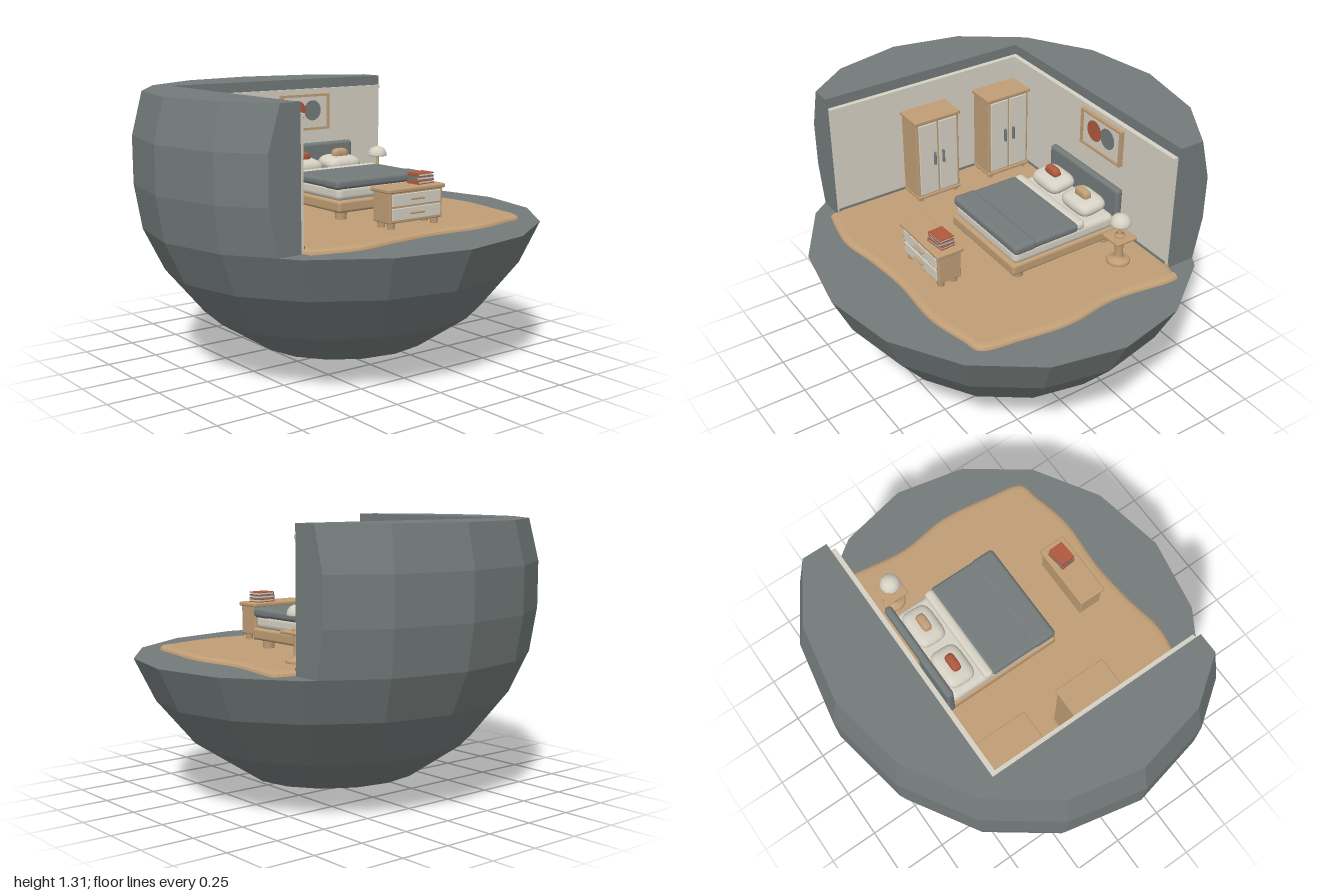
import * as THREE from 'three';
import { RoundedBoxGeometry } from 'three/addons/geometries/RoundedBoxGeometry.js';

const mat = (name, color, extra) => new THREE.MeshStandardMaterial({ name, color, ...extra });

export function createModel() {
  const model = new THREE.Group();
  model.name = 'bedroomBowl';
  const slate = mat('slate', 0x737b7a);
  const wood = mat('wood', 0xc09e76);
  const cream = mat('cream', 0xd6d1c4);
  const terracotta = mat('terracotta', 0xb0593f);

  const group = (name, x = 0, y = 0, z = 0) => {
    const g = new THREE.Group();
    g.name = name;
    g.position.set(x, y, z);
    model.add(g);
    return g;
  };
  const add = (parent, name, geo, material, x = 0, y = 0, z = 0) => {
    const m = new THREE.Mesh(geo, material);
    m.name = name;
    m.position.set(x, y, z);
    parent.add(m);
    return m;
  };
  // Box given by its min and max on each axis, optionally rounded
  const box = (parent, name, material, [x0, x1], [y0, y1], [z0, z1], r = 0) => {
    const s = [x1 - x0, y1 - y0, z1 - z0];
    const geo = r ? new RoundedBoxGeometry(...s, 3, r) : new THREE.BoxGeometry(...s);
    return add(parent, name, geo, material, (x0 + x1) / 2, (y0 + y1) / 2, (z0 + z1) / 2);
  };
  const lathe = (parent, name, material, pts, x, y, z) =>
    add(parent, name, new THREE.LatheGeometry(pts.map(p => new THREE.Vector2(...p)), 24), material, x, y, z);

  // Faceted loft through stacked loops of [x, z], closed on top
  const loft = (levels) => {
    const pos = [];
    const put = (y, p) => pos.push(p[0], y, p[1]);
    for (let l = 0; l < levels.length - 1; l++) {
      const [a, b] = [levels[l], levels[l + 1]];
      a.loop.forEach((p, i) => {
        const j = (i + 1) % a.loop.length;
        put(a.y, p); put(a.y, a.loop[j]); put(b.y, b.loop[j]);
        put(a.y, p); put(b.y, b.loop[j]); put(b.y, b.loop[i]);
      });
    }
    const top = levels.at(-1);
    const flat = top.loop.map(p => new THREE.Vector2(p[0], -p[1]));
    THREE.ShapeUtils.triangulateShape(flat, []).forEach(t => t.forEach(i => put(top.y, top.loop[i])));
    const geo = new THREE.BufferGeometry();
    geo.setAttribute('position', new THREE.Float32BufferAttribute(pos, 3));
    geo.computeVertexNormals();
    return geo;
  };

  // Rock: full bowl below, cut-away shell behind and on the right side
  const rim = (r, k) => {
    const a = -k * Math.PI / 8;
    return [0.01 + r * Math.cos(a), 0.028 + 0.918 * r * Math.sin(a)];
  };
  const ring = r => Array.from({ length: 16 }, (_, k) => rim(r, k));
  const cutAt = (p, q, axis, v) => {
    const t = (v - p[axis]) / (q[axis] - p[axis]);
    return [p[0] + t * (q[0] - p[0]), p[1] + t * (q[1] - p[1])];
  };
  const shellLoop = r => [
    cutAt(rim(r, 2), rim(r, 3), 0, 0.645),
    ...[3, 4, 5, 6, 7, 8, 9].map(k => rim(r, k)),
    cutAt(rim(r, 9), rim(r, 10), 1, 0.575),
    [-0.625, 0.575], [-0.625, -0.5], [0.645, -0.5],
  ];
  const rock = group('rock');
  add(rock, 'bowl', loft([[0, 0.001], [0.095, 0.43], [0.265, 0.695], [0.48, 0.877], [0.68, 0.975]]
    .map(([y, r]) => ({ y, loop: ring(r) }))), slate);
  add(rock, 'shell', loft([[0.68, 0.975], [0.89, 1.01], [1.11, 1.01], [1.31, 0.96]]
    .map(([y, r]) => ({ y, loop: shellLoop(r) }))), slate);

  // Floor with a wavy, softened edge
  const edge = [[0.735, -0.47], [0.735, -0.4], [0.7, -0.13], [0.73, 0.13], [0.7, 0.38], [0.665, 0.55], [0.56, 0.585],
    [0.35, 0.625], [0.08, 0.612], [-0.15, 0.63], [-0.37, 0.66], [-0.605, 0.615]];
  const shape = new THREE.Shape();
  shape.moveTo(edge[0][0], -edge[0][1]);
  shape.splineThru(edge.slice(1).map(([x, z]) => new THREE.Vector2(x, -z)));
  [[-0.615, 0.57], [-0.66, 0.53], [-0.66, -0.54], [0.63, -0.54], [0.64, -0.49]].forEach(([x, z]) => shape.lineTo(x, -z));
  const floorGeo = new THREE.ExtrudeGeometry(shape, {
    depth: 0.01, bevelThickness: 0.02, bevelSize: 0.03, bevelOffset: -0.03, bevelSegments: 3, curveSegments: 40,
  });
  floorGeo.rotateX(-Math.PI / 2);
  add(group('floor'), 'floor', floorGeo, wood, 0, 0.672, 0);

  // Wall panels with crown trim and skirting
  const walls = group('walls');
  box(walls, 'backWall', cream, [-0.625, 0.63], [0.69, 1.26], [-0.5, -0.48]);
  box(walls, 'sideWall', cream, [-0.625, -0.605], [0.69, 1.26], [-0.5, 0.565]);
  box(walls, 'backTrim', cream, [-0.61, 0.63], [1.245, 1.262], [-0.485, -0.472]);
  box(walls, 'sideTrim', cream, [-0.61, -0.597], [1.245, 1.262], [-0.48, 0.565]);
  box(walls, 'backSkirting', slate, [-0.61, 0.63], [0.69, 0.712], [-0.485, -0.474]);
  box(walls, 'sideSkirting', slate, [-0.61, -0.599], [0.69, 0.712], [-0.48, 0.565]);

  // Two wardrobes along the side wall
  for (const z of [-0.333, 0.083]) {
    const w = group('wardrobe', -0.51, 0.7, z);
    box(w, 'body', wood, [-0.07, 0.065], [0.02, 0.44], [-0.12, 0.12], 0.004);
    box(w, 'top', wood, [-0.075, 0.075], [0.438, 0.455], [-0.126, 0.126], 0.004);
    box(w, 'plinth', wood, [-0.072, 0.072], [0.018, 0.034], [-0.123, 0.123], 0.004);
    for (const s of [-1, 1]) {
      box(w, 'door', cream, [0.064, 0.072], [0.042, 0.43], [s * 0.056 - 0.051, s * 0.056 + 0.051], 0.003);
      box(w, 'handle', slate, [0.07, 0.086], [0.2, 0.27], [s * 0.024 - 0.005, s * 0.024 + 0.005], 0.004);
      for (const x of [-0.05, 0.05])
        add(w, 'foot', new THREE.CylinderGeometry(0.014, 0.012, 0.025, 12), wood, x, 0.01, s * 0.1);
    }
  }

  // Bed
  const bed = group('bed');
  box(bed, 'headboard', slate, [-0.15, 0.375], [0.76, 0.992], [-0.42, -0.382], 0.016);
  box(bed, 'frame', wood, [-0.143, 0.373], [0.74, 0.797], [-0.41, 0.193], 0.014);
  box(bed, 'mattress', cream, [-0.137, 0.367], [0.79, 0.865], [-0.385, 0.18], 0.028);
  box(bed, 'blanket', slate, [-0.145, 0.375], [0.848, 0.892], [-0.17, 0.18], 0.018);
  box(bed, 'throw', slate, [-0.148, 0.378], [0.846, 0.896], [0.065, 0.185], 0.02);
  box(bed, 'foldedSheet', cream, [-0.143, 0.373], [0.848, 0.894], [-0.21, -0.16], 0.02);
  for (const x of [-0.09, 0.32]) for (const z of [-0.36, 0.135])
    add(bed, 'leg', new THREE.CylinderGeometry(0.03, 0.026, 0.05, 16), wood, x, 0.72, z);

  // Plump pillows: spheres squared off in plan
  const pillow = (name, material, w, h, d, x, y, z, tilt = 0) => {
    const geo = new THREE.SphereGeometry(1, 32, 16);
    const p = geo.attributes.position;
    const square = v => Math.sign(v) * Math.pow(Math.abs(v), 0.5);
    for (let i = 0; i < p.count; i++)
      p.setXYZ(i, square(p.getX(i)) * w / 2, p.getY(i) * h / 2, square(p.getZ(i)) * d / 2);
    geo.computeVertexNormals();
    add(bed, name, geo, material, x, y, z).rotation.x = tilt;
  };
  for (const [x, m] of [[-0.008, terracotta], [0.23, wood]]) {
    pillow('pillow', cream, 0.2, 0.075, 0.15, x, 0.895, -0.302, 0.12);
    pillow('cushion', m, 0.09, 0.06, 0.045, x, 0.937, -0.298, 0.1);
  }

  // Chest of drawers at the foot of the bed
  const chest = group('chest');
  box(chest, 'body', wood, [-0.088, 0.225], [0.73, 0.875], [0.375, 0.492], 0.005);
  box(chest, 'top', wood, [-0.1, 0.235], [0.868, 0.888], [0.365, 0.502], 0.006);
  for (const y of [0.742, 0.806]) {
    box(chest, 'drawer', cream, [-0.074, 0.211], [y, y + 0.056], [0.488, 0.498], 0.003);
    box(chest, 'drawerHandle', wood, [0.03, 0.107], [y + 0.025, y + 0.035], [0.495, 0.51], 0.004);
  }
  for (const x of [-0.06, 0.197]) for (const z of [0.4, 0.468])
    add(chest, 'leg', new THREE.CylinderGeometry(0.02, 0.016, 0.045, 14), wood, x, 0.715, z);

  // Books on the chest
  const books = group('books', 0.147, 0.888, 0.428);
  [[terracotta, 0.1, 0], [slate, -0.05, 0.018], [terracotta, 0.05, 0.034]].forEach(([m, turn, y], i) => {
    const b = new THREE.Group();
    b.name = 'book';
    b.position.y = y;
    b.rotation.y = turn;
    books.add(b);
    const w = 0.052 - i * 0.002;
    box(b, 'pages', cream, [-w + 0.004, w - 0.004], [0.003, 0.013], [-0.034, 0.034]);
    for (const c of [0, 0.012]) box(b, 'cover', m, [-w, w], [c, c + 0.004], [-0.037, 0.037]);
    box(b, 'spine', m, [-w, -w + 0.004], [0, 0.016], [-0.037, 0.037]);
  });

  // Bedside table and lamp
  const table = group('bedsideTable', 0.492, 0.69, -0.315);
  lathe(table, 'pedestal', wood, [[0, 0], [0.055, 0], [0.056, 0.02], [0.05, 0.027], [0.025, 0.032], [0.02, 0.05],
    [0.02, 0.11], [0.026, 0.135], [0.026, 0.15]], 0, 0, 0);
  box(table, 'top', wood, [-0.057, 0.057], [0.138, 0.152], [-0.058, 0.058], 0.005);
  lathe(table, 'lampStand', wood, [[0, 0.15], [0.026, 0.15], [0.026, 0.158], [0.008, 0.165], [0.008, 0.225]], 0, 0, 0);
  lathe(table, 'lampShade', cream, [[0, 0.216], [0.048, 0.216], [0.05, 0.222], [0.046, 0.24], [0.033, 0.256],
    [0.015, 0.264], [0, 0.266]], 0, 0, 0);

  // Framed picture of two discs
  const picture = group('picture', 0.135, 1.142, -0.48);
  box(picture, 'canvas', cream, [-0.14, 0.14], [-0.083, 0.083], [0, 0.012]);
  for (const s of [-1, 1]) {
    box(picture, 'frameRail', wood, [-0.15, 0.15], [s * 0.086 - 0.006, s * 0.086 + 0.006], [0, 0.022]);
    box(picture, 'frameStile', wood, [s * 0.144 - 0.006, s * 0.144 + 0.006], [-0.092, 0.092], [0, 0.022]);
  }
  add(picture, 'slateDisc', new THREE.CircleGeometry(0.052, 32), slate, 0.046, 0.008, 0.014);
  add(picture, 'terracottaDisc', new THREE.CircleGeometry(0.053, 32), terracotta, -0.05, 0.008, 0.016);
  return model;
}
